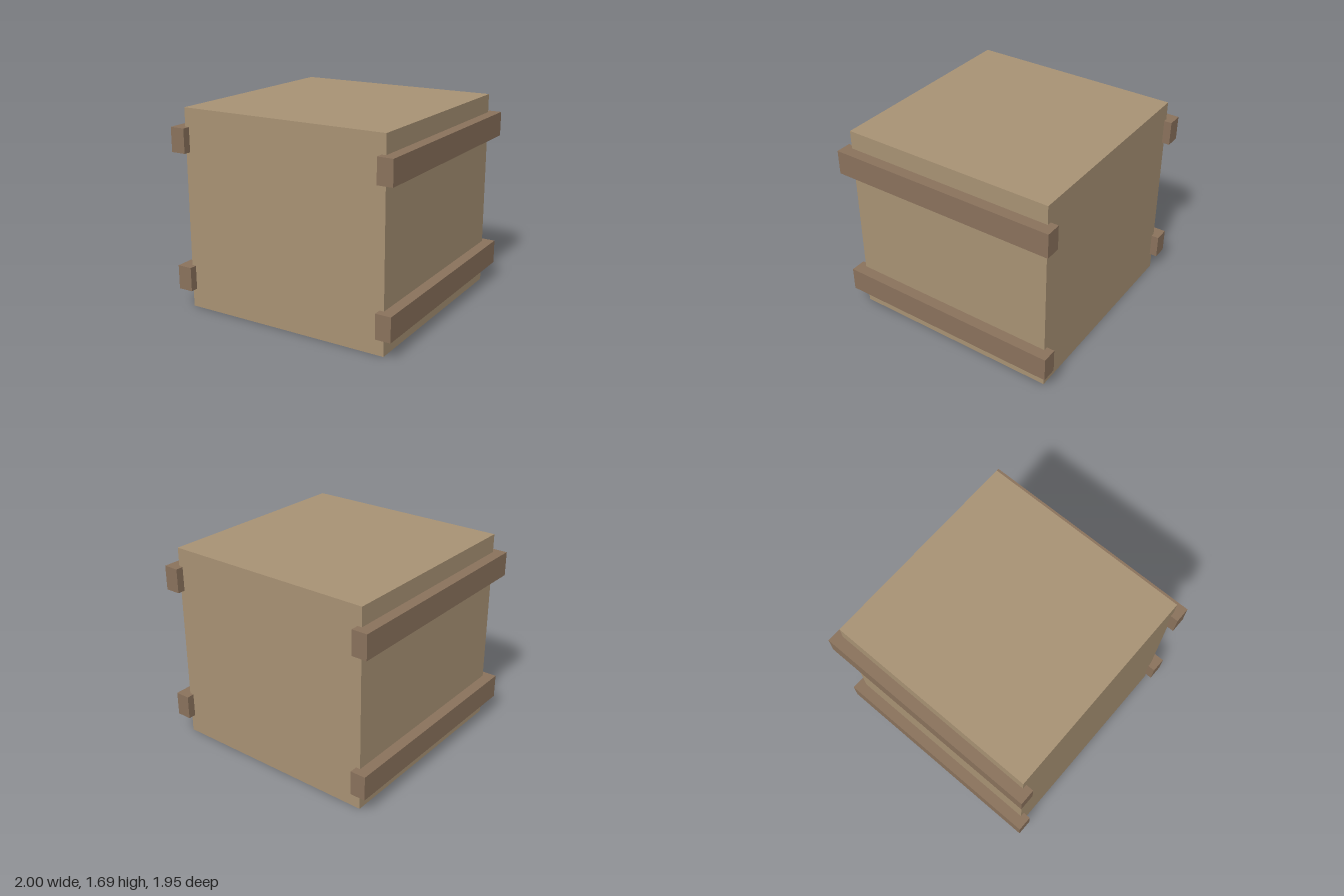
import * as THREE from 'three';

export function createModel() {
  const model = new THREE.Group();
  model.name = 'crate';

  const lightWood = new THREE.MeshStandardMaterial({ color: 0xa89274, flatShading: true });
  const darkWood = new THREE.MeshStandardMaterial({ color: 0x8a725c, flatShading: true });

  function addBox(name, material, [w, h, d], [x, y, z]) {
    const mesh = new THREE.Mesh(new THREE.BoxGeometry(w, h, d), material);
    mesh.name = name;
    mesh.position.set(x, y, z);
    model.add(mesh);
  }

  // Main body
  const height = 1.69;
  addBox('crateBody', lightWood, [1.814, height, 1.814], [0, height / 2, 0]);

  // Upper and lower battens on both sides, overhanging front and back
  for (const [side, sign] of [['left', 1], ['right', -1]]) {
    for (const [level, y] of [['Lower', 0.262], ['Upper', 1.432]]) {
      addBox(`${side}${level}Batten`, darkWood, [0.13, 0.205, 1.945], [sign * 0.935, y, 0]);
    }
  }

  return model;
}
